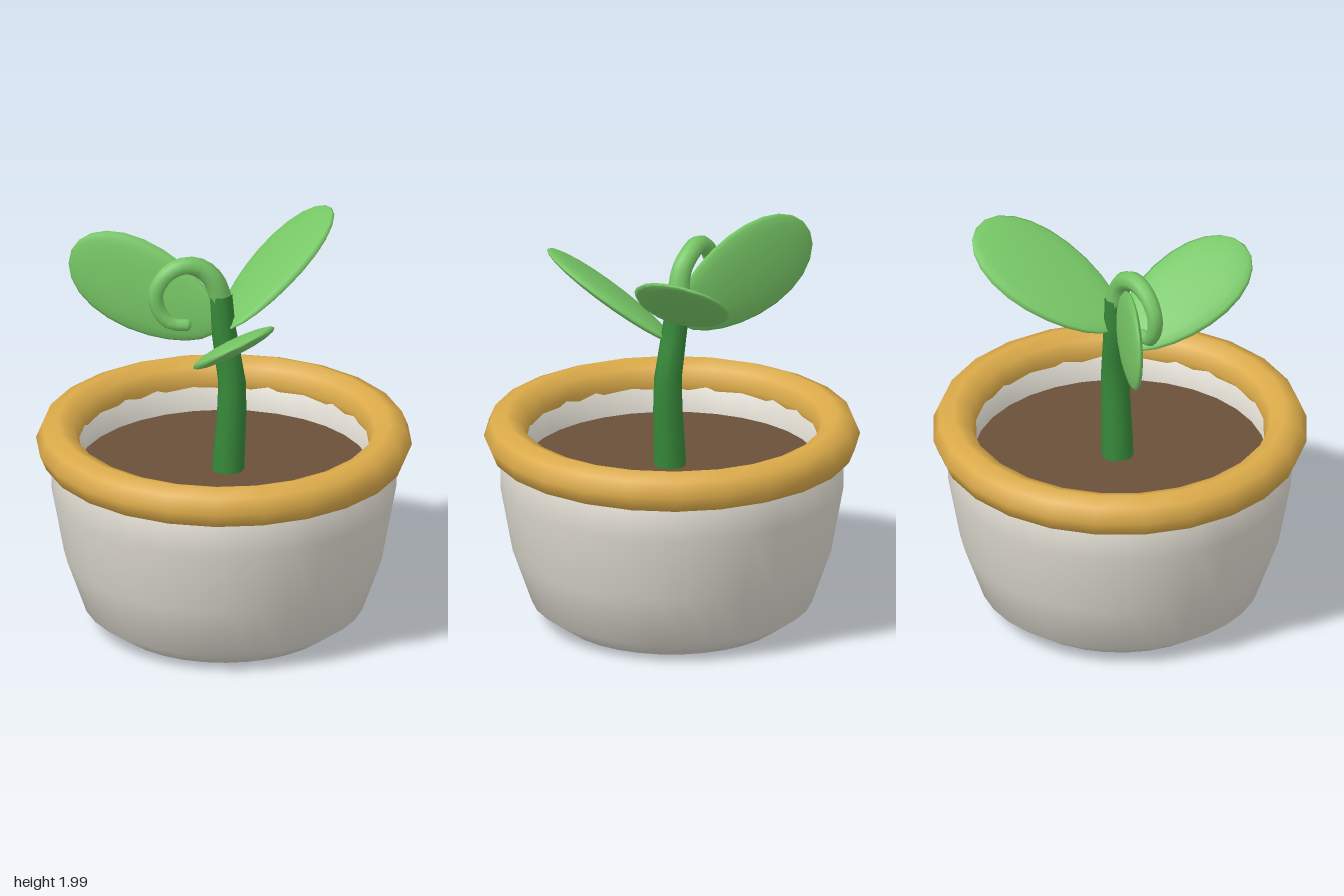
import * as THREE from 'three';
import { mergeVertices } from 'three/addons/utils/BufferGeometryUtils.js';

const V = (x, y, z) => new THREE.Vector3(x, y, z);
const material = (name, color) => Object.assign(new THREE.MeshStandardMaterial({ color }), { name });

// Tube along a smooth path whose radius changes from r0 to r1
function taperedTube(points, segments, sides, r0, r1) {
  const curve = new THREE.CatmullRomCurve3(points);
  const geo = new THREE.TubeGeometry(curve, segments, 1, sides);
  const pos = geo.attributes.position;
  const v = V(0, 0, 0);
  for (let i = 0; i <= segments; i++) {
    const centre = curve.getPointAt(i / segments);
    const r = THREE.MathUtils.lerp(r0, r1, i / segments);
    for (let j = 0; j <= sides; j++) {
      const k = i * (sides + 1) + j;
      v.fromBufferAttribute(pos, k).sub(centre).multiplyScalar(r).add(centre);
      pos.setXYZ(k, v.x, v.y, v.z);
    }
  }
  return geo;
}

// Flattened egg from base to tip, broad along the side direction
function leafGeometry(base, tip, side, halfWidth) {
  const axis = tip.clone().sub(base);
  const halfLength = axis.length() / 2;
  axis.normalize();
  const across = side.clone().addScaledVector(axis, -side.dot(axis)).normalize();
  const normal = across.clone().cross(axis);

  let geo = new THREE.SphereGeometry(1, 16, 12);
  const pos = geo.attributes.position;
  for (let i = 0; i < pos.count; i++) {
    const y = pos.getY(i);
    pos.setXYZ(i, pos.getX(i) * halfWidth * (1 + 0.15 * y), y * halfLength, pos.getZ(i) * 0.04);
  }
  geo.deleteAttribute('uv');
  geo.deleteAttribute('normal');
  geo = mergeVertices(geo, 1e-5);
  geo.applyMatrix4(new THREE.Matrix4().makeBasis(across, axis, normal)
    .setPosition(base.clone().add(tip).multiplyScalar(0.5)));
  geo.computeVertexNormals();
  return geo;
}

export function createModel() {
  const group = new THREE.Group();
  const white = material('potWhite', 0xdedad0);
  const gold = material('rimGold', 0xdcab4a);
  const brown = material('soilBrown', 0x6b5039);
  const darkGreen = material('stemGreen', 0x37893a);
  const green = material('leafGreen', 0x77c766);

  const add = (name, geo, mat) => {
    const mesh = new THREE.Mesh(geo, mat);
    mesh.name = name;
    group.add(mesh);
    return mesh;
  };

  // Hollow pot with a drain hole
  const profile = [
    [0.16, 0], [0.55, 0], [0.69, 0.1], [0.785, 0.37], [0.845, 0.7], [0.845, 0.95],
    [0.72, 0.95], [0.72, 0.75], [0.68, 0.4], [0.6, 0.14], [0.5, 0.03], [0.16, 0.02], [0.16, 0],
  ].map(([x, y]) => new THREE.Vector2(x, y));
  add('pot', new THREE.LatheGeometry(profile, 32), white);

  // Rolled rim
  const rim = new THREE.TorusGeometry(0.817, 0.106, 8, 24).rotateX(Math.PI / 2);
  add('rim', rim, gold).position.y = 0.95;

  // Soil
  add('soil', new THREE.CircleGeometry(0.72, 32).rotateX(-Math.PI / 2), brown).position.y = 0.8;

  // Stem and curled shoot
  add('stem', taperedTube([
    V(0.02, 0.79, 0), V(0.04, 1.27, 0), V(0.005, 1.5, -0.02), V(-0.01, 1.72, -0.03),
  ], 6, 10, 0.08, 0.057), darkGreen);
  const tip = V(-0.19, 1.58, -0.01);
  add('curledShoot', taperedTube([
    V(-0.01, 1.7, -0.03), V(-0.045, 1.8, -0.03), V(-0.11, 1.865, -0.04), V(-0.19, 1.885, -0.04),
    V(-0.28, 1.845, -0.04), V(-0.335, 1.75, -0.04), V(-0.315, 1.65, -0.035), V(-0.26, 1.59, -0.02), tip,
  ], 18, 8, 0.056, 0.03), green);
  add('shootTip', new THREE.SphereGeometry(0.03, 8, 6), green).position.copy(tip);

  // Three leaves around the top of the stem
  add('frontLeaf', leafGeometry(V(0, 1.43, 0.0), V(-0.07, 1.77, 0.72), V(0.9, 0.4, 0), 0.22), green);
  add('leftLeaf', leafGeometry(V(0, 1.54, 0), V(0.6, 1.97, -0.43), V(0.405, 0.29, 0.857), 0.24), green);
  add('rightLeaf', leafGeometry(V(-0.02, 1.55, -0.02), V(-0.68, 1.86, -0.4), V(0.34, 0.92, 0.19), 0.24), green);

  return group;
}
